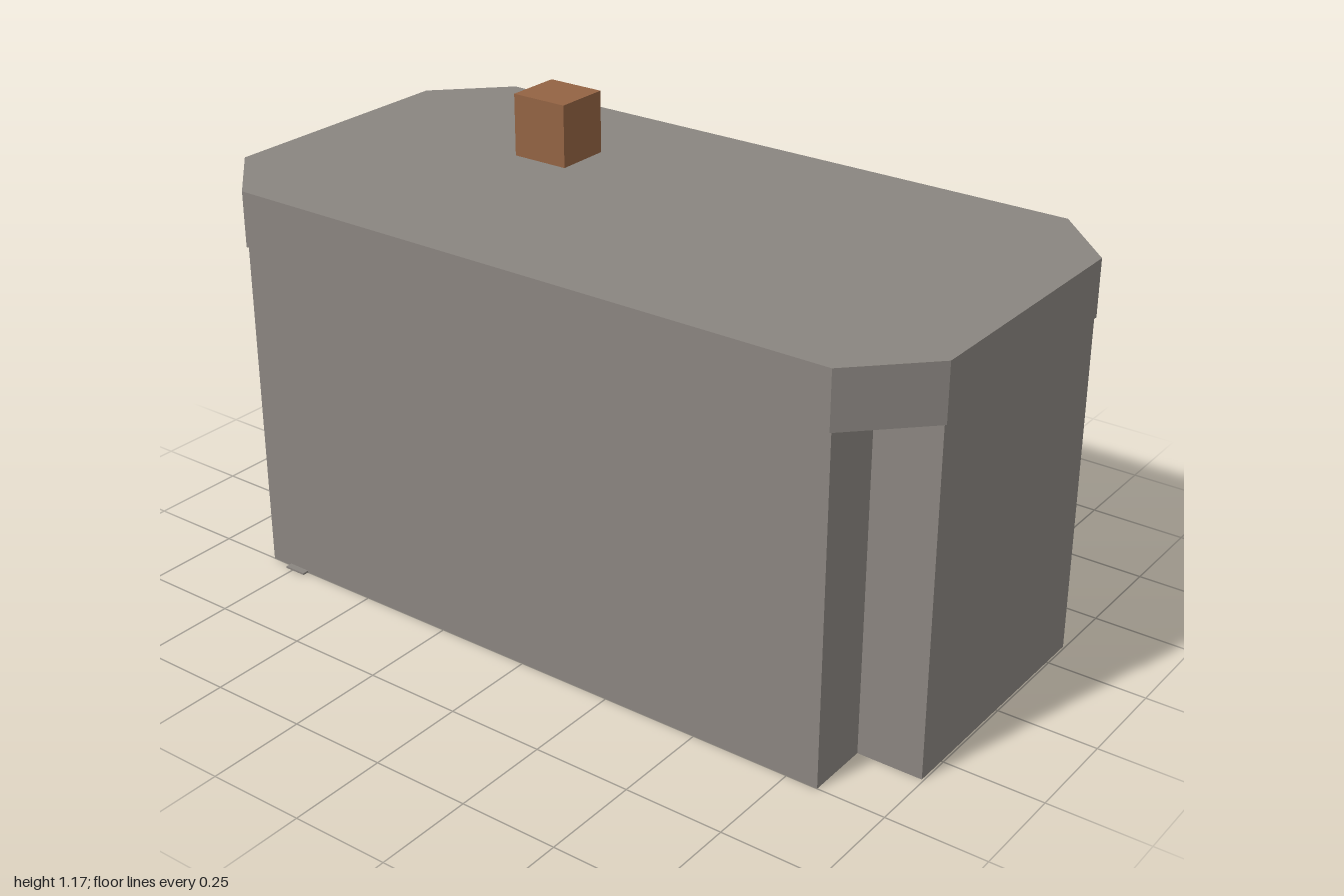
import * as THREE from 'three';

const stone = new THREE.MeshStandardMaterial({ color: 0x8a8580, side: THREE.DoubleSide });
stone.name = 'warm grey';
const brick = new THREE.MeshStandardMaterial({ color: 0x936343, side: THREE.DoubleSide });
brick.name = 'brown';

// Solid with an [x, z] outline, between two heights
function prism(outline, y0, y1) {
  const shape = new THREE.Shape(outline.map(([x, z]) => new THREE.Vector2(x, -z)));
  const geo = new THREE.ExtrudeGeometry(shape, { depth: y1 - y0, bevelEnabled: false });
  return geo.rotateX(-Math.PI / 2).translate(0, y0, 0);
}

// Thin upright walls along a closed [x, z] outline
function walls(outline, y0, y1) {
  const pos = [];
  outline.forEach(([ax, az], i) => {
    const [bx, bz] = outline[(i + 1) % outline.length];
    pos.push(ax, y0, az, bx, y0, bz, bx, y1, bz, ax, y0, az, bx, y1, bz, ax, y1, az);
  });
  const geo = new THREE.BufferGeometry();
  geo.setAttribute('position', new THREE.Float32BufferAttribute(pos, 3));
  geo.computeVertexNormals();
  return geo;
}

export function createModel() {
  const group = new THREE.Group();
  const add = (name, geo, mat, x = 0, y = 0, z = 0) => {
    const mesh = new THREE.Mesh(geo, mat);
    mesh.name = name;
    mesh.position.set(x, y, z);
    group.add(mesh);
  };

  const W = 0.995, D = 0.5, cx = 0.83, cz = 0.335;
  const front = [[-W, cz], [-cx, cz], [-cx, D], [cx, D], [cx, cz], [W, cz]];
  const backChamfers = [[W, -cz], [cx, -D], [-cx, -D], [-W, -cz]];
  const backNotches = [[W, -cz], [cx, -cz], [cx, -D], [-cx, -D], [-cx, -cz], [-W, -cz]];

  // Roof slab with four cut corners
  const w = 1, d = 0.507;
  add('roofSlab', prism([[-w, cz], [-cx, d], [cx, d], [w, cz],
    [w, -cz], [cx, -d], [-cx, -d], [-w, -cz]], 0.867, 1.01), stone);

  // Main body: notched front corners, chamfered back corners
  add('body', prism([...front, ...backChamfers], 0.29, 0.865), stone);

  // Hollow base: notched at all four corners and open below
  add('baseWalls', walls([...front, ...backNotches], 0, 0.29), stone);

  // Closed-off bay inside the left end
  add('bayWall', new THREE.BoxGeometry(0.004, 0.29, 2 * cz), stone, cx, 0.145, 0);
  add('bayCeiling', new THREE.BoxGeometry(W - cx, 0.004, 2 * cz), stone, (W + cx) / 2, 0.135, 0);

  // Brown wedge on the underside
  add('undersideWedge', prism([[-cx, cz], [-cx, D - 0.002], [0.52, cz]], 0.285, 0.289), brick);

  // Chimney
  add('chimney', new THREE.BoxGeometry(0.155, 0.16, 0.146), brick, -0.393, 1.09, -0.152);

  // Small flat tabs at the foot of the long walls
  for (const s of [1, -1])
    add('footTab', new THREE.BoxGeometry(0.06, 0.005, 0.04), stone, -s * 0.74, 0.0025, s * 0.497);

  return group;
}
